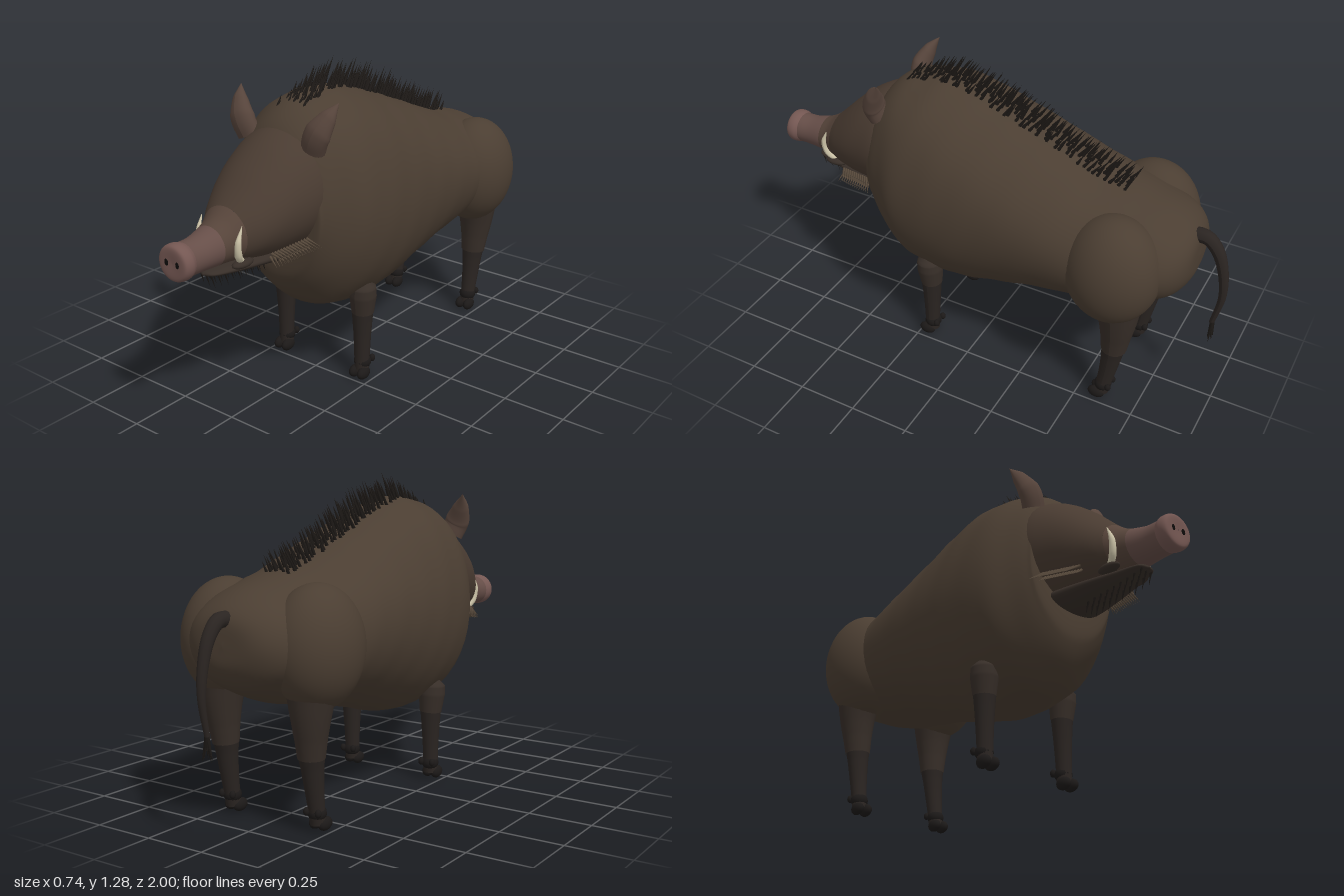
import * as THREE from 'three';
import { mergeGeometries } from 'three/addons/utils/BufferGeometryUtils.js';

const V = (x, y, z) => new THREE.Vector3(x, y, z);
const mat = (color, side = THREE.FrontSide) => new THREE.MeshStandardMaterial({ color, side, roughness: 0.9 });
const HIDE = mat(0x4b3e32), HEAD = mat(0x493b31), MUZZLE = mat(0x56443a), PINK = mat(0x664e48), NOSE = mat(0x745752);
const LEG = mat(0x372e28), SHIN = mat(0x2a2421), HOOF = mat(0x1c1918), BRISTLE = mat(0x1d1916);
const DARK = mat(0x0d0b0a), IVORY = mat(0xcfc6aa), WHISKER = mat(0x57493b);

function add(parent, name, geometry, material) {
  const mesh = new THREE.Mesh(geometry, material);
  mesh.name = name;
  parent.add(mesh);
  return mesh;
}

// Skin over elliptical rings; rows run front to back as [z, top, bottom, halfWidth].
function loft(rows, sub = 4, sides = 40, bump = 0) {
  const a = new THREE.CatmullRomCurve3(rows.map(r => V(r[0], r[1], r[2])), false, 'catmullrom', 0.5);
  const b = new THREE.CatmullRomCurve3(rows.map(r => V(r[0], r[3], 0)), false, 'catmullrom', 0.5);
  const n = (rows.length - 1) * sub, pos = [], idx = [];
  for (let i = 0; i <= n; i++) {
    const p = a.getPoint(i / n), w = Math.max(b.getPoint(i / n).y, 0.0005);
    const cy = (p.y + p.z) / 2, h = Math.max((p.y - p.z) / 2, 0.0005);
    for (let j = 0; j < sides; j++) {
      const t = j / sides * Math.PI * 2;
      const k = 1 + bump * Math.sin(5 * t + 17 * p.x) * Math.sin(23 * p.x + 3 * Math.cos(t));
      pos.push(Math.cos(t) * w * k, cy + Math.sin(t) * h * k, p.x);
      if (i < n) {
        const q = i * sides + j, r = i * sides + (j + 1) % sides;
        idx.push(q, q + sides, r, r, q + sides, r + sides);
      }
    }
  }
  const g = new THREE.BufferGeometry();
  g.setAttribute('position', new THREE.Float32BufferAttribute(pos, 3));
  g.setIndex(idx);
  g.computeVertexNormals();
  return g;
}

// Tube whose radius follows a list of values along the path.
function taper(points, radii, sides = 14, steps = 24) {
  const curve = new THREE.CatmullRomCurve3(points);
  const g = new THREE.TubeGeometry(curve, steps, 1, sides, false), p = g.attributes.position, v = V(0, 0, 0);
  for (let i = 0; i <= steps; i++) {
    const c = curve.getPointAt(i / steps), f = i / steps * (radii.length - 1);
    const k = Math.min(Math.floor(f), radii.length - 2);
    const r = THREE.MathUtils.lerp(radii[k], radii[k + 1], f - k);
    for (let j = 0; j <= sides; j++) {
      const q = i * (sides + 1) + j;
      v.fromBufferAttribute(p, q).sub(c).multiplyScalar(r).add(c);
      p.setXYZ(q, v.x, v.y, v.z);
    }
  }
  g.computeVertexNormals();
  return g;
}

function ball(x, y, z, rx, ry, rz, detail = 20) {
  return new THREE.SphereGeometry(1, detail, Math.ceil(detail * 0.7)).scale(rx, ry, rz).translate(x, y, z);
}

// One bristle from a root point along a direction.
function spike(root, dir, length, radius) {
  const q = new THREE.Quaternion().setFromUnitVectors(V(0, 1, 0), dir.clone().normalize());
  return new THREE.ConeGeometry(radius, length, 5).translate(0, length / 2, 0).applyQuaternion(q).translate(root.x, root.y, root.z);
}

let seed = 7;
const rand = () => (seed = (seed * 16807) % 2147483647) / 2147483647;

const BODY = [
  [0.475, 0.82, 0.72, 0], [0.48, 1.0, 0.54, 0.19], [0.46, 1.07, 0.46, 0.225], [0.4, 1.13, 0.38, 0.265],
  [0.31, 1.165, 0.315, 0.315], [0.18, 1.18, 0.29, 0.332], [0.05, 1.15, 0.295, 0.335], [-0.12, 1.09, 0.34, 0.33],
  [-0.3, 1.02, 0.39, 0.325], [-0.48, 0.95, 0.425, 0.315], [-0.62, 0.915, 0.45, 0.29], [-0.74, 0.88, 0.495, 0.25],
  [-0.82, 0.84, 0.54, 0.2], [-0.865, 0.785, 0.61, 0.12], [-0.873, 0.7, 0.69, 0]];

function backHeight(z) {
  const i = Math.max(2, BODY.findIndex(r => r[0] <= z)), [z1, y1] = BODY[i], [z0, y0] = BODY[i - 1];
  return y0 + (y1 - y0) * (z - z0) / (z1 - z0);
}

export function createModel() {
  const boar = new THREE.Group();
  boar.name = 'boar';

  // Trunk, and a crest of backswept bristles
  add(boar, 'body', loft(BODY, 5, 48, 0.008), HIDE);
  const mane = [];
  for (let z = 0.38; z > -0.56; z -= 0.024) {
    for (let row = -2; row <= 2; row++) {
      const x = row * 0.024 + (rand() - 0.5) * 0.016, zz = z + (rand() - 0.5) * 0.02;
      const len = (0.135 - 0.02 * Math.abs(row)) * (0.8 + 0.3 * rand()) * (zz > 0.3 ? 0.75 : zz < -0.2 ? 0.85 : 1);
      mane.push(spike(V(x, backHeight(zz) - 0.02, zz), V(x * 0.8, 1, -0.55 - 0.2 * rand()), len, 0.009));
    }
  }
  add(boar, 'mane', mergeGeometries(mane), BRISTLE);

  // Head, narrowing through coloured bands into the snout
  const head = new THREE.Group();
  head.name = 'head';
  boar.add(head);
  add(head, 'skull', loft([
    [0.74, 0.852, 0.65, 0.108], [0.69, 0.9, 0.64, 0.142], [0.62, 0.968, 0.628, 0.175], [0.54, 1.03, 0.62, 0.2],
    [0.46, 1.07, 0.615, 0.217], [0.4, 1.075, 0.62, 0.215]], 5, 40, 0.006), HEAD);
  add(head, 'muzzle', loft([
    [0.82, 0.802, 0.653, 0.078], [0.78, 0.822, 0.652, 0.088], [0.74, 0.852, 0.65, 0.108]], 4, 40), MUZZLE);
  add(head, 'snout', loft([
    [0.95, 0.782, 0.655, 0.064], [0.89, 0.784, 0.655, 0.066], [0.82, 0.802, 0.653, 0.078]], 4, 40), PINK);
  add(head, 'noseDisc', loft([
    [0.998, 0.723, 0.717, 0], [1.0, 0.77, 0.668, 0.053], [0.99, 0.786, 0.653, 0.07],
    [0.965, 0.788, 0.651, 0.073], [0.945, 0.782, 0.655, 0.064]], 4, 40), NOSE);
  add(head, 'lowerJaw', loft([
    [0.86, 0.635, 0.63, 0], [0.84, 0.645, 0.622, 0.04], [0.76, 0.65, 0.61, 0.065], [0.62, 0.66, 0.598, 0.1],
    [0.5, 0.67, 0.588, 0.12], [0.42, 0.67, 0.6, 0.12]], 4, 28), LEG);

  // Bristles under the chin
  const chin = [];
  for (let i = 0; i < 9; i++) {
    for (const x of [-0.025, 0, 0.025]) {
      const z = 0.58 + i * 0.033;
      chin.push(spike(V(x, 0.598 + (z - 0.58) * 0.13, z), V(x, -1, -0.3), 0.05 + 0.015 * rand(), 0.005));
    }
  }
  add(head, 'chinBristles', mergeGeometries(chin), BRISTLE);

  for (const s of [-1, 1]) {
    const side = s > 0 ? 'left' : 'right';
    add(head, side + 'Eye', ball(s * 0.163, 0.858, 0.565, 0.02, 0.022, 0.024), DARK);
    add(head, side + 'Nostril', ball(s * 0.027, 0.722, 0.997, 0.011, 0.015, 0.005, 12), DARK);
    add(head, side + 'Tusk', taper([V(s * 0.068, 0.655, 0.73), V(s * 0.086, 0.69, 0.765), V(s * 0.096, 0.745, 0.775),
      V(s * 0.098, 0.805, 0.755)], [0.012, 0.014, 0.011, 0.001], 10), IVORY);
    add(head, side + 'Lip', ball(s * 0.075, 0.653, 0.735, 0.026, 0.016, 0.05, 14), LEG);

    // Ear: thin curved cup pointing up and out
    const ear = add(head, side + 'Ear', taper([V(0, -0.01, 0.02), V(0.022, 0.04, 0.03), V(0.052, 0.1, 0), V(0.08, 0.16, -0.05)],
      [0.052, 0.054, 0.034, 0.001], 18), mat(0x56443b, THREE.DoubleSide));
    ear.geometry.scale(1, 1, 0.7);
    if (s < 0) ear.rotation.y = Math.PI, ear.geometry.scale(1, 1, -1), ear.geometry.index.array.reverse(), ear.geometry.computeVertexNormals();
    ear.position.set(s * 0.155, 1.027, 0.42);

    // Fan of cheek whiskers
    const cheek = [];
    for (let i = 0; i < 13; i++) {
      const z = 0.5 + i * 0.0125;
      cheek.push(spike(V(s * (0.172 - i * 0.003), 0.695 - i * 0.0015, z), V(s * 0.75, -0.45, -0.35), 0.07, 0.006));
      cheek.push(spike(V(s * (0.165 - i * 0.003), 0.68 - i * 0.0015, z), V(s * 0.65, -0.5, 0.15), 0.055, 0.006));
    }
    add(head, side + 'CheekWhiskers', mergeGeometries(cheek), WHISKER);

    // Haunch and legs
    add(boar, side + 'Haunch', ball(s * 0.205, 0.675, -0.605, 0.165, 0.228, 0.19, 36), HIDE);
    add(boar, side + 'FrontThigh', taper([V(s * 0.205, 0.44, 0.2), V(s * 0.205, 0.41, 0.2), V(s * 0.2, 0.29, 0.195)],
      [0.01, 0.052, 0.055, 0.05, 0.045], 18), LEG);
    add(boar, side + 'FrontShin', taper([V(s * 0.2, 0.31, 0.196), V(s * 0.2, 0.18, 0.197), V(s * 0.2, 0.03, 0.2)],
      [0.045, 0.04, 0.036, 0.033, 0.031, 0.03], 18), SHIN);
    add(boar, side + 'RearThigh', taper([V(s * 0.205, 0.56, -0.64), V(s * 0.205, 0.43, -0.645), V(s * 0.2, 0.28, -0.637)],
      [0.1, 0.085, 0.072, 0.06, 0.051], 18), LEG);
    add(boar, side + 'RearShin', taper([V(s * 0.2, 0.3, -0.638), V(s * 0.2, 0.17, -0.622), V(s * 0.2, 0.03, -0.6)],
      [0.051, 0.043, 0.038, 0.034, 0.031, 0.03], 18), SHIN);

    // Cloven hooves with dewclaws
    for (const [name, z] of [['Front', 0.2], ['Rear', -0.6]]) {
      const toes = [ball(s * 0.2, 0.07, z - 0.005, 0.036, 0.032, 0.035, 14)];
      for (const t of [-1, 1]) {
        toes.push(ball(s * 0.2 + t * 0.02, 0.028, z + 0.015, 0.02, 0.026, 0.036, 14));
        toes.push(ball(s * 0.2 + t * 0.026, 0.078, z - 0.035, 0.012, 0.016, 0.013, 10));
      }
      add(boar, side + name + 'Hoof', mergeGeometries(toes), HOOF);
    }
  }

  // Hanging tail with a tuft
  add(boar, 'tail', taper([V(0, 0.78, -0.82), V(0, 0.785, -0.89), V(0, 0.74, -0.935), V(0, 0.65, -0.968),
    V(0, 0.53, -0.98), V(0, 0.39, -0.955)], [0.032, 0.027, 0.022, 0.018, 0.013, 0.01], 12, 30), SHIN);
  const tuft = [];
  for (let i = 0; i < 14; i++) {
    const a = i * 2.4;
    tuft.push(spike(V(0, 0.42 - 0.03 * rand(), -0.958), V(Math.cos(a) * 0.25, -1, Math.sin(a) * 0.14), 0.07 + 0.03 * rand(), 0.009));
  }
  add(boar, 'tailTuft', mergeGeometries(tuft), BRISTLE);
  return boar;
}
